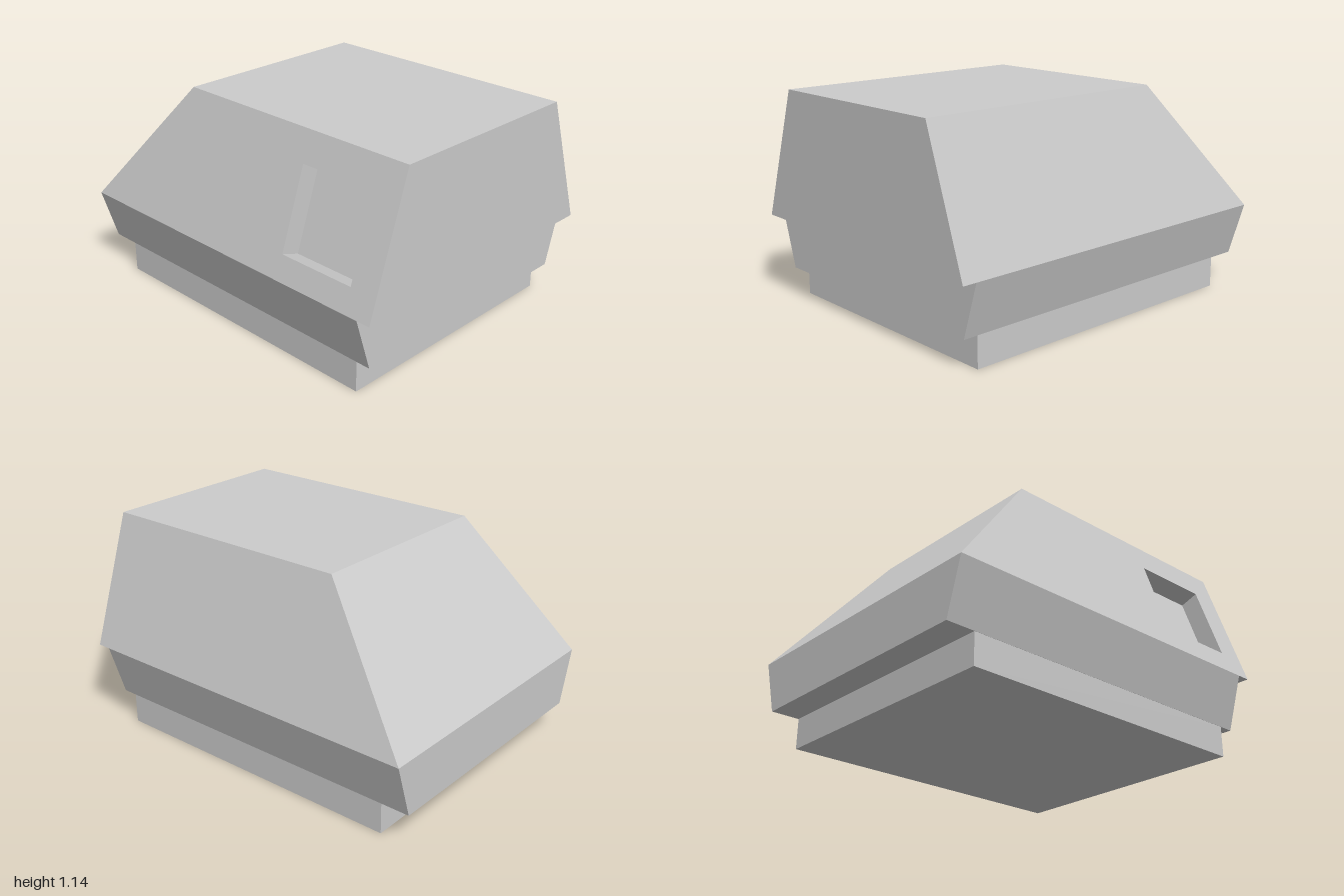
import * as THREE from 'three';

const material = new THREE.MeshStandardMaterial({ color: 0xcccccc, flatShading: true });

// Key sizes of the cabin section
const EAVE = { y: 0.45, x: 0.782, front: 1, back: -1 };
const ROOF = { y: 1.14, x: 0.547, front: 1, back: -0.43 };

// Solid between two horizontal rectangles; skipRight leaves the -x wall open
function prismoid(lower, upper, skipRight = false) {
  const positions = [];
  for (const r of [lower, upper]) {
    positions.push(-r.x, r.y, r.front, r.x, r.y, r.front, r.x, r.y, r.back, -r.x, r.y, r.back);
  }
  const index = [0, 3, 2, 0, 2, 1, 4, 5, 6, 4, 6, 7]; // bottom and top
  for (let i = 0; i < (skipRight ? 3 : 4); i++) {
    const j = (i + 1) % 4;
    index.push(i, j, j + 4, i, j + 4, i + 4);
  }
  const indexed = new THREE.BufferGeometry();
  indexed.setAttribute('position', new THREE.Float32BufferAttribute(positions, 3));
  indexed.setIndex(index);
  const geometry = indexed.toNonIndexed();
  geometry.computeVertexNormals();
  return geometry;
}

// Open box seen from the inside, its mouth on the plane z = 0
function pocket(width, height, depth) {
  const box = new THREE.BoxGeometry(width, height, depth);
  const faces = Array.from(box.index.array);
  faces.splice(24, 6); // remove the outward +z face
  box.setIndex(faces.reverse());
  const geometry = box.toNonIndexed();
  geometry.computeVertexNormals();
  return geometry.translate(0, 0, -depth / 2);
}

export function createModel() {
  const model = new THREE.Group();
  const add = (name, geometry, parent = model) => {
    const mesh = new THREE.Mesh(geometry, material);
    mesh.name = name;
    parent.add(mesh);
    return mesh;
  };

  // Plinth and flared lower body
  add('base', new THREE.BoxGeometry(1.386, 0.163, 1.69).translate(0, 0.0815, 0));
  add('lowerBody', prismoid(
    { y: 0.163, x: 0.694, front: 0.925, back: -1 },
    { y: EAVE.y, x: EAVE.x, front: 0.925, back: -1 }
  ));

  // Tapered cabin with a sloping back
  add('cabin', prismoid(EAVE, ROOF, true));

  // Right wall, drawn flat in its own plane: local x along z, local y up the slope
  const rightWall = new THREE.Group();
  rightWall.name = 'rightWall';
  const up = new THREE.Vector3(EAVE.x - ROOF.x, ROOF.y - EAVE.y, 0);
  const slope = up.length();
  up.normalize();
  const along = new THREE.Vector3(0, 0, 1);
  const outward = new THREE.Vector3().crossVectors(along, up);
  rightWall.quaternion.setFromRotationMatrix(new THREE.Matrix4().makeBasis(along, up, outward));
  rightWall.position.set(-EAVE.x, EAVE.y, 0);
  model.add(rightWall);

  const z0 = 0.413, z1 = 0.849, s0 = 0.13, s1 = 0.566;
  const points = (list) => list.map(([x, y]) => new THREE.Vector2(x, y));
  const wall = new THREE.Shape(points([
    [EAVE.back, 0], [EAVE.front, 0], [ROOF.front, slope], [ROOF.back, slope]
  ]));
  wall.holes.push(new THREE.Path(points([[z0, s0], [z0, s1], [z1, s1], [z1, s0]])));
  add('wallPanel', new THREE.ShapeGeometry(wall), rightWall);

  // Square window recess set into the right wall
  add('windowRecess', pocket(z1 - z0, s1 - s0, 0.105), rightWall)
    .position.set((z0 + z1) / 2, (s0 + s1) / 2, 0);

  return model;
}
